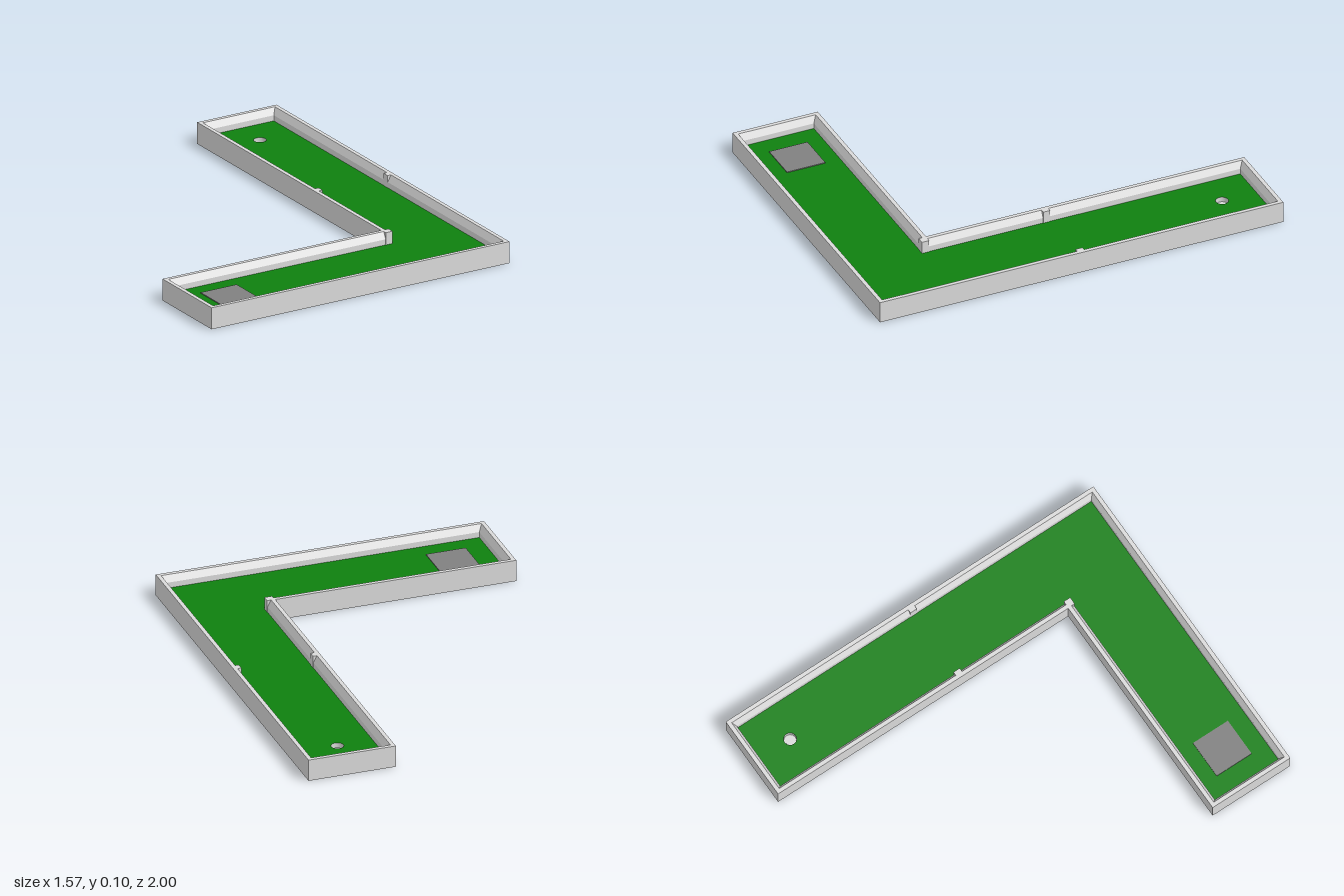
import * as THREE from 'three';

// L-shaped footprint [x, z], counter-clockwise seen from above
const OUTLINE = [[-0.787, 1], [0.785, 1], [0.785, -1], [0.367, -1], [0.367, 0.578], [-0.787, 0.578]];
const HEIGHT = 0.104, FLOOR = 0.045, BASE = 0.02;
const CUP = { x: 0.572, z: -0.795, r: 0.029 };

// Move every right-angled corner of the footprint inwards by d
function inset(d) {
  const n = OUTLINE.length;
  const normal = (a, b) => {
    const dx = b[0] - a[0], dz = b[1] - a[1], l = Math.hypot(dx, dz);
    return [dz / l, -dx / l];
  };
  return OUTLINE.map((p, i) => {
    const n1 = normal(OUTLINE[(i + n - 1) % n], p);
    const n2 = normal(p, OUTLINE[(i + 1) % n]);
    return [p[0] + d * (n1[0] + n2[0]), p[1] + d * (n1[1] + n2[1])];
  });
}

// Sweep a [inset, height] profile round the footprint with mitred corners
function sweepWall(profile) {
  const rings = profile.map(([d, y]) => inset(d).map(([x, z]) => [x, y, z]));
  const pos = [];
  for (let r = 0; r < rings.length - 1; r++) {
    for (let i = 0; i < OUTLINE.length; i++) {
      const j = (i + 1) % OUTLINE.length;
      const a = rings[r][i], b = rings[r][j], c = rings[r + 1][j], d = rings[r + 1][i];
      pos.push(...a, ...b, ...c, ...a, ...c, ...d);
    }
  }
  const g = new THREE.BufferGeometry();
  g.setAttribute('position', new THREE.Float32BufferAttribute(pos, 3));
  g.computeVertexNormals();
  return g;
}

// Flat slab of the footprint between two heights, optionally with the cup hole
function slab(y0, y1, withHole) {
  const shape = new THREE.Shape(inset(0.001).map(([x, z]) => new THREE.Vector2(x, -z)));
  if (withHole) {
    shape.holes.push(new THREE.Path().absarc(CUP.x, -CUP.z, CUP.r, 0, Math.PI * 2, true));
  }
  const g = new THREE.ExtrudeGeometry(shape, { depth: y1 - y0, bevelEnabled: false, curveSegments: 24 });
  return g.rotateX(-Math.PI / 2).translate(0, y0, 0);
}

export function createModel() {
  const group = new THREE.Group();
  const mat = (name, color) => {
    const m = new THREE.MeshStandardMaterial({ color });
    m.name = name;
    return m;
  };
  const turf = mat('turf green', 0x0f800f);
  const rail = mat('rail light grey', 0xdadada);
  const matGrey = mat('tee mat grey', 0x808080);
  rail.side = THREE.DoubleSide;

  const add = (name, geometry, material, x = 0, y = 0, z = 0) => {
    const m = new THREE.Mesh(geometry, material);
    m.name = name;
    m.position.set(x, y, z);
    group.add(m);
    return m;
  };

  // Green base and playing surface
  add('base', slab(0, BASE, false), turf);
  add('playingSurface', slab(BASE, FLOOR, true), turf);

  // Border wall: flat top, sloped shoulder, upright inner face
  add('borderWall', sweepWall([[0, 0], [0, HEIGHT], [0.019, HEIGHT], [0.036, 0.072], [0.036, FLOOR - 0.002]]), rail);

  // Full-height posts at the wall joints and the inner corner
  const post = (name, x0, x1, z0, z1) => add(name,
    new THREE.BoxGeometry(x1 - x0, HEIGHT - FLOOR, z1 - z0), rail,
    (x0 + x1) / 2, (HEIGHT + FLOOR) / 2, (z0 + z1) / 2);
  post('rightJointPost', 0.385, 0.405, -0.02, 0.014);
  post('leftJointPost', 0.748, 0.767, -0.02, 0.014);
  post('innerCornerPost', 0.369, 0.405, 0.58, 0.615);

  // Recessed cup
  const depth = FLOOR - BASE;
  add('cupLiner', new THREE.CylinderGeometry(CUP.r, CUP.r, depth, 24, 1, true), rail, CUP.x, BASE + depth / 2, CUP.z);
  add('cupBottom', new THREE.CircleGeometry(CUP.r, 24).rotateX(-Math.PI / 2), rail, CUP.x, BASE + 0.001, CUP.z);

  // Tee mat
  add('teeMat', new THREE.BoxGeometry(0.19, 0.004, 0.19), matGrey, -0.56, FLOOR + 0.002, 0.785);

  return group;
}
